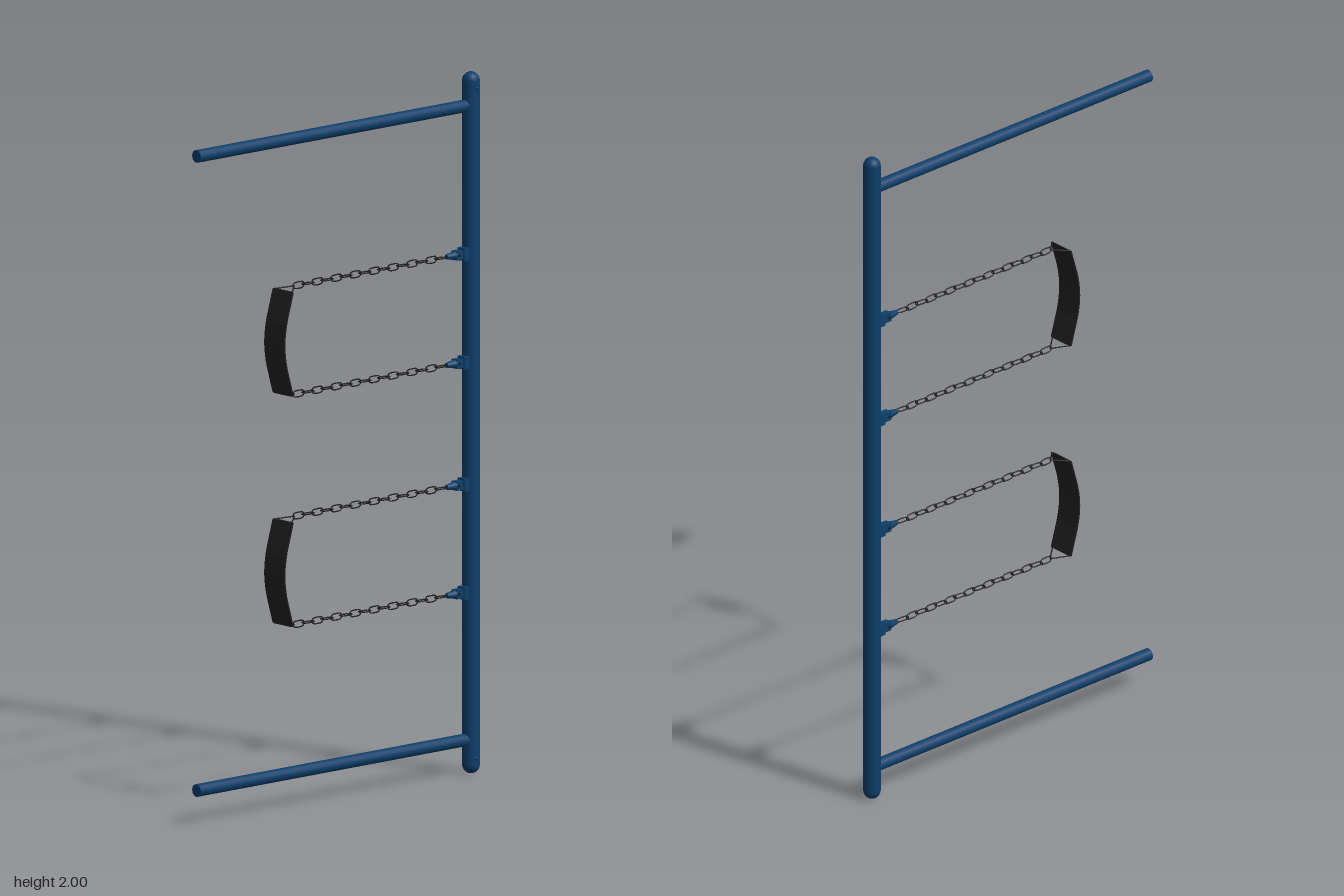
import * as THREE from 'three';

const blue = new THREE.MeshStandardMaterial({ color: 0x0d3f6b });
blue.name = 'blue paint';
const black = new THREE.MeshStandardMaterial({ color: 0x222222, side: THREE.DoubleSide });
black.name = 'black rubber and chain';

const BEAM_X = 0.506, BEAM_Z = -0.004;

function add(parent, name, geometry, material, x = 0, y = 0, z = 0) {
  const mesh = new THREE.Mesh(geometry, material);
  mesh.name = name;
  mesh.position.set(x, y, z);
  parent.add(mesh);
  return mesh;
}

// cylinder lying along x, r0 at the -x end and r1 at the +x end
const rodX = (r0, r1, length, sides = 16) =>
  new THREE.CylinderGeometry(r1, r0, length, sides).rotateZ(-Math.PI / 2);

// closed oval chain link, long axis x, flat in the xy plane
function linkGeometry() {
  const half = 0.012, r = 0.0085, points = [];
  for (let i = 0; i < 12; i++) {
    const a = ((i + 0.5) / 12) * Math.PI * 2;
    points.push(new THREE.Vector3(Math.sign(Math.cos(a)) * half + Math.cos(a) * r, Math.sin(a) * r, 0));
  }
  return new THREE.TubeGeometry(new THREE.CatmullRomCurve3(points, true), 24, 0.002, 5, true);
}

// straight wire between two points
function wire(parent, a, b) {
  const curve = new THREE.LineCurve3(new THREE.Vector3(...a), new THREE.Vector3(...b));
  add(parent, 'triangleWire', new THREE.TubeGeometry(curve, 1, 0.002, 6), black);
}

// curved belt seat, swept across z
function seatGeometry() {
  const curve = new THREE.CatmullRomCurve3(
    [[-0.211, -0.148], [-0.222, -0.11], [-0.237, -0.055], [-0.243, 0], [-0.237, 0.055], [-0.222, 0.11], [-0.211, 0.148]]
      .map(([x, y]) => new THREE.Vector3(x, y, 0)));
  const pts = curve.getPoints(24), t = 0.002;
  const shape = new THREE.Shape();
  pts.forEach((p, i) => (i ? shape.lineTo(p.x + t, p.y) : shape.moveTo(p.x + t, p.y)));
  pts.reverse().forEach((p) => shape.lineTo(p.x - t, p.y));
  return new THREE.ExtrudeGeometry(shape, { depth: 0.083, bevelEnabled: false }).translate(0, 0, -0.0415);
}

export function createModel() {
  const model = new THREE.Group();
  model.name = 'swingSet';

  // round-ended main beam
  add(model, 'mainBeam', new THREE.CapsuleGeometry(0.025, 1.95, 5, 16), blue, BEAM_X, 1, BEAM_Z);

  // posts with their small bolts
  for (const y of [0.097, 1.904]) {
    add(model, 'post', rodX(0.018, 0.018, 1.04), blue, -0.015, y, -0.006);
    add(model, 'postBolt', new THREE.SphereGeometry(0.005, 8, 6), blue, 0.385, y, 0.011);
  }
  for (const y of [0.045, 1.955])
    add(model, 'beamBolt', new THREE.SphereGeometry(0.005, 8, 6), blue, BEAM_X, y, 0.02);

  const link = linkGeometry(), seat = seatGeometry();
  for (const centre of [0.673, 1.3295]) {
    const swing = new THREE.Group();
    swing.name = 'swing';
    swing.position.y = centre;
    model.add(swing);
    add(swing, 'beltSeat', seat, black);

    for (const side of [-1, 1]) {
      const y = side * 0.1545, z = -0.003;

      // triangle joining the seat to the chain
      const corners = [[-0.211, side * 0.148, -0.036], [-0.211, side * 0.148, 0.036]];
      for (const c of corners) wire(swing, c, [-0.166, y, z]);
      wire(swing, corners[0], corners[1]);

      // chain of links turned by a quarter each time
      for (let i = 0; i < 16; i++) {
        const mesh = add(swing, 'chainLink', link, black, -0.15 + i * 0.036, y, z);
        mesh.rotation.x = (i % 2) * Math.PI / 2;
      }

      // hanger fixed under the beam
      add(swing, 'hangerTip', rodX(0.007, 0.013, 0.032, 10), blue, 0.428, y, z);
      add(swing, 'hangerBody', new THREE.BoxGeometry(0.026, 0.026, 0.022), blue, 0.455, y, z);
      add(swing, 'hangerFlange', new THREE.BoxGeometry(0.022, 0.036, 0.028), blue, 0.478, y, z);
      add(swing, 'hangerPin', new THREE.CylinderGeometry(0.004, 0.004, 0.03, 8).rotateX(Math.PI / 2), black, 0.45, y, z);
    }
  }
  return model;
}
